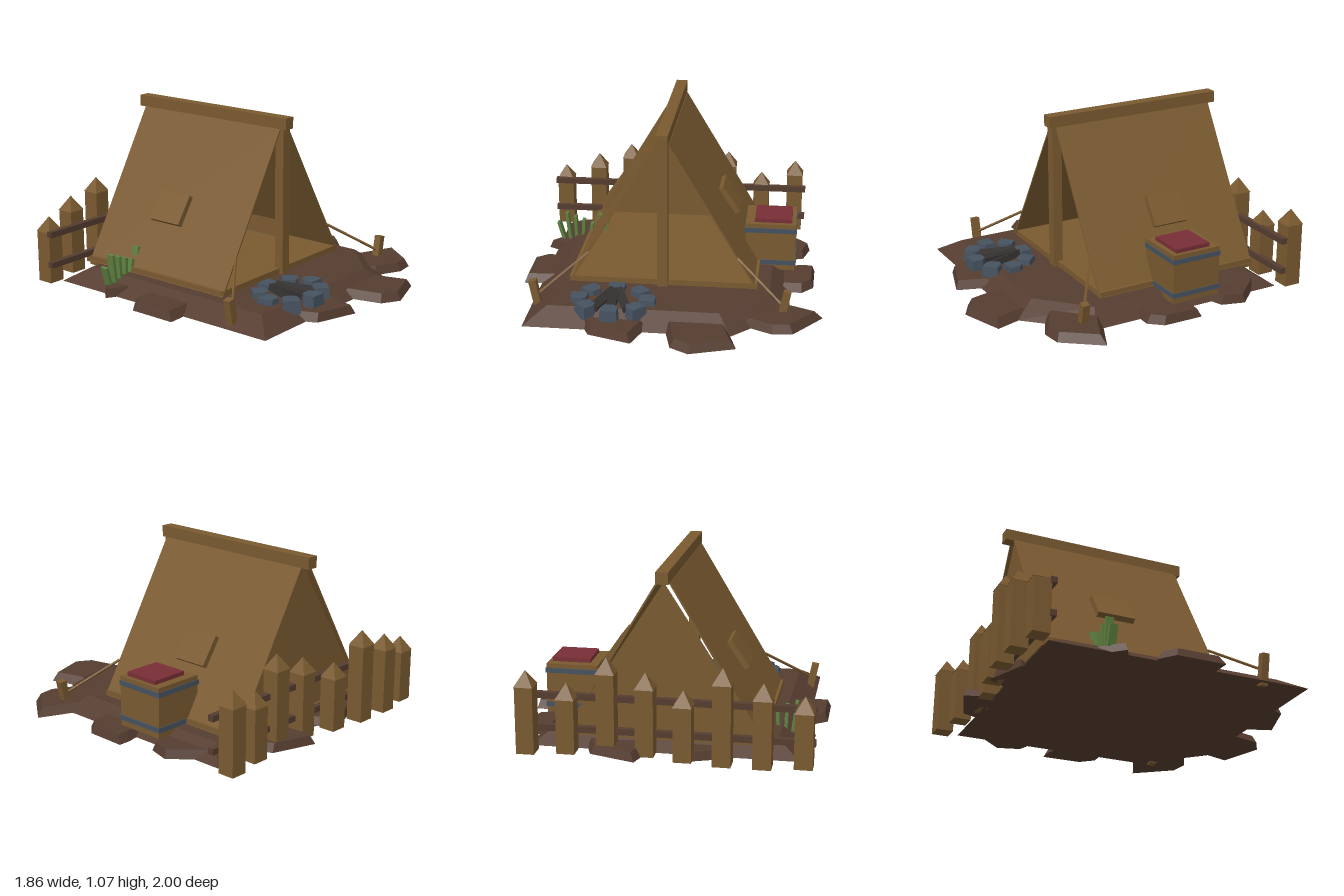
import * as THREE from 'three';
import { ConvexGeometry } from 'three/addons/geometries/ConvexGeometry.js';

const mat = (name, color, side = THREE.FrontSide) => {
  const m = new THREE.MeshStandardMaterial({ color, side });
  m.name = name;
  return m;
};

export function createModel() {
  const model = new THREE.Group();
  model.name = 'campsite';
  const tan = mat('tan wood and canvas', 0x7a5a30);
  const canvas = mat('tan canvas', 0x7a5a30, THREE.DoubleSide);
  const earth = mat('brown earth', 0x553c30);
  const slate = mat('slate', 0x465260);
  const red = mat('red cloth', 0x782f36);
  const green = mat('grass green', 0x5f8040);
  const char = mat('charcoal', 0x33302f);

  const add = (name, geo, material, parent = model) => {
    const m = new THREE.Mesh(geo, material);
    m.name = name;
    parent.add(m);
    return m;
  };
  // Box given by its limits
  const box = (name, [x0, x1], [y0, y1], [z0, z1], material, parent) => {
    const m = add(name, new THREE.BoxGeometry(x1 - x0, y1 - y0, z1 - z0), material, parent);
    m.position.set((x0 + x1) / 2, (y0 + y1) / 2, (z0 + z1) / 2);
    return m;
  };
  // Bar between two points
  const bar = (name, a, b, w, d, material, parent) => {
    const p = new THREE.Vector3(...a), q = new THREE.Vector3(...b);
    const m = add(name, new THREE.BoxGeometry(w, p.distanceTo(q), d), material, parent);
    m.position.copy(p).add(q).multiplyScalar(0.5);
    m.quaternion.setFromUnitVectors(new THREE.Vector3(0, 1, 0), q.sub(p).normalize());
    return m;
  };
  // Solid with sloping sides between two [x, z] outlines
  const frustum = (low, high, y0, y1) => new ConvexGeometry([
    ...low.map(([x, z]) => new THREE.Vector3(x, y0, z)),
    ...high.map(([x, z]) => new THREE.Vector3(x, y1, z))]);

  // Ground mound with one cut corner
  add('groundMound', frustum(
    [[-0.82, -0.83], [0.73, -0.83], [0.73, 0.42], [0.4, 0.76], [-0.82, 0.76]],
    [[-0.69, -0.7], [0.61, -0.7], [0.61, 0.37], [0.33, 0.635], [-0.69, 0.635]], 0.015, 0.1), earth);

  // Rough slabs around the rim
  const slabs = [
    [[-0.93, -0.13], [-0.84, -0.2], [-0.68, -0.17], [-0.68, 0.16], [-0.93, 0.17]],
    [[-0.88, -0.4], [-0.75, -0.54], [-0.66, -0.45], [-0.68, -0.29], [-0.76, -0.34]],
    [[0.65, -0.74], [0.84, -0.53], [0.8, -0.39], [0.66, -0.34]],
    [[0.66, -0.17], [0.8, -0.2], [0.875, -0.2], [0.87, 0.05], [0.8, 0.13], [0.67, 0.13]],
    [[0.35, 0.51], [0.65, 0.34], [0.93, 0.465], [0.76, 0.69], [0.64, 0.705], [0.47, 0.62]],
    [[0.01, 0.68], [0.07, 0.93], [0.18, 0.995], [0.445, 0.905], [0.38, 0.68]],
    [[-0.48, 0.68], [-0.42, 0.82], [-0.16, 0.905], [-0.09, 0.7]],
    [[0.09, -1], [0.36, -0.91], [0.41, -0.78], [0.03, -0.78]],
    [[-0.45, -0.84], [-0.19, -0.94], [-0.1, -0.78], [-0.4, -0.78]],
  ];
  for (const pts of slabs) {
    const cx = pts.reduce((s, p) => s + p[0], 0) / pts.length;
    const cz = pts.reduce((s, p) => s + p[1], 0) / pts.length;
    const top = pts.map(([x, z]) => [cx + (x - cx) * 0.83, cz + (z - cz) * 0.83]);
    add('rimSlab', frustum(pts, top, 0.015, 0.067), earth);
  }

  // Tent
  const tent = new THREE.Group();
  tent.name = 'tent';
  tent.position.x = -0.043;
  model.add(tent);
  box('ridgeBeam', [-0.036, 0.036], [1, 1.07], [-0.84, 0.33], tan, tent);
  box('frontPole', [-0.032, 0.032], [0.08, 1], [0.25, 0.31], tan, tent);
  box('groundSheet', [-0.575, 0.575], [0.08, 0.135], [-0.79, 0.285], tan, tent);
  const wall = new THREE.Shape([[-0.575, 0.1], [0.575, 0.1], [0, 1]].map(p => new THREE.Vector2(...p)));
  add('backWall', new THREE.ShapeGeometry(wall), canvas, tent).position.z = -0.775;
  for (const s of [-1, 1]) {
    const panel = bar('roofPanel', [s * 0.572, 0.1, -0.25], [s * 0.036, 1.0, -0.25], 0.01, 1.08, tan, tent);
    panel.name = s < 0 ? 'rightRoofPanel' : 'leftRoofPanel';
    bar('canvasPatch', [s * 0.425, 0.41, -0.285], [s * 0.315, 0.57, -0.285], 0.035, 0.23, tan, tent);
    bar('stake', [s * 0.725, 0.005, 0.49], [s * 0.762, 0.19, 0.49], 0.045, 0.045, tan, tent);
    bar('guyRope', [s * 0.735, 0.1, 0.49], [s * 0.455, 0.3, 0.29], 0.012, 0.012, tan, tent);
  }

  // Picket fence behind the tent
  const fence = new THREE.Group();
  fence.name = 'fence';
  model.add(fence);
  const heights = [0.425, 0.5, 0.575];
  [-0.9, -0.94, -0.94, -0.91, -0.86, -0.855, -0.89, -0.93].forEach((z, i) => {
    const x = -0.85 + i * 0.2245, h = heights[i % 3], r = 0.052;
    box('fencePost', [x - r, x + r], [0.015, h - 0.09], [z - r, z + r], tan, fence);
    const tip = add('fencePostTip',
      new THREE.ConeGeometry((r + 0.003) * Math.SQRT2, 0.09, 4).toNonIndexed(), tan, fence);
    tip.geometry.computeVertexNormals();
    tip.rotation.y = Math.PI / 4;
    tip.position.set(x, h - 0.045, z);
  });
  for (const y of [0.118, 0.312])
    box('fenceRail', [-0.91, 0.795], [y, y + 0.036], [-0.857, -0.82], earth, fence);

  // Crate with metal bands and a red cushion
  const crate = new THREE.Group();
  crate.name = 'crate';
  model.add(crate);
  box('crateBody', [0.435, 0.75], [0.07, 0.375], [-0.395, -0.08], tan, crate);
  for (const y of [0.105, 0.318])
    box('crateBand', [0.43, 0.755], [y, y + 0.03], [-0.4, -0.075], slate, crate);
  box('crateCushion', [0.492, 0.724], [0.37, 0.4], [-0.34, -0.112], red, crate);

  // Fire ring
  const fire = new THREE.Group();
  fire.name = 'firePit';
  fire.position.set(-0.31, 0, 0.545);
  model.add(fire);
  const stone = [[-0.055, 0.05], [0.055, 0.05], [0.055, -0.025], [0.03, -0.055], [-0.03, -0.055], [-0.055, -0.025]];
  const stoneGeo = frustum(stone, stone.map(([x, z]) => [x * 0.88, z * 0.88]), 0.055, 0.133);
  for (let i = 0; i < 8; i++) {
    const a = i * Math.PI / 4;
    const m = add('fireStone', stoneGeo, slate, fire);
    m.position.set(Math.cos(a) * 0.205, 0, Math.sin(a) * 0.158);
    m.rotation.y = -a + (i % 2 ? Math.PI / 2 : 0) + (i % 4 === 2 ? Math.PI / 2 : 0);
  }
  for (const x of [-0.1, 0, 0.1])
    bar('charredLog', [x, 0.105, 0.11], [x * 0.15, 0.115, -0.12], 0.055, 0.04, char, fire);

  // Grass tuft, blades fanning out
  for (let i = 0; i < 7; i++) {
    const x = -0.79 + i * 0.042, h = 0.1 + (i * 3 % 4) * 0.022;
    bar('grassBlade', [x, 0.06, -0.458], [x + (i - 2.5) * 0.014, 0.08 + h, -0.458], 0.02, 0.048, green);
  }
  return model;
}
